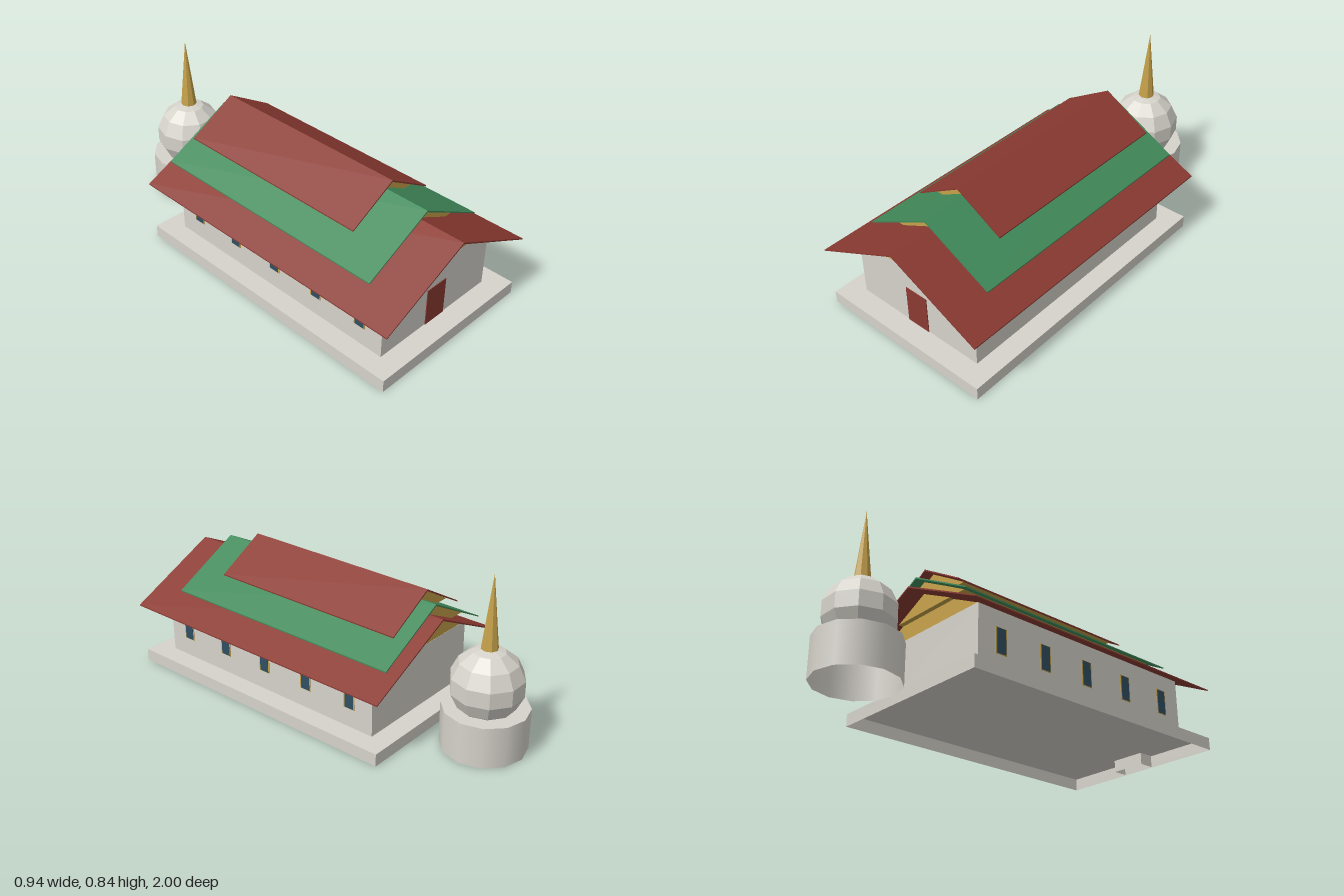
import * as THREE from 'three';

const mat = (name, color, extra = {}) => {
  const m = new THREE.MeshStandardMaterial({ color, ...extra });
  m.name = name;
  return m;
};

export function createModel() {
  const group = new THREE.Group();
  group.name = 'temple';
  const stone = mat('whitewash', 0xd6d3cb, { side: THREE.DoubleSide });
  const dome = mat('domeWhite', 0xd6d3cb, { flatShading: true });
  const red = mat('redTile', 0x8b3a32);
  const green = mat('greenTile', 0x418a5a);
  const gold = mat('gold', 0xc6a24a, { flatShading: true });
  const glass = mat('windowBlue', 0x2f4f62);

  const add = (name, geometry, material, x = 0, y = 0, z = 0, parent = group) => {
    const mesh = new THREE.Mesh(geometry, material);
    mesh.name = name;
    mesh.position.set(x, y, z);
    parent.add(mesh);
    return mesh;
  };

  // Box given by its limits, left open underneath
  const openBox = (name, w, y0, y1, z0, z1) => {
    const g = new THREE.BoxGeometry(w, y1 - y0, z1 - z0);
    const index = Array.from(g.index.array);
    index.splice(18, 6);
    g.setIndex(index);
    g.clearGroups();
    return add(name, g, stone, 0, (y0 + y1) / 2, (z0 + z1) / 2);
  };

  // Outline in x and y, extruded from z0 to z1
  const prism = (name, points, z0, z1, material) => {
    const shape = new THREE.Shape(points.map(([x, y]) => new THREE.Vector2(x, y)));
    const g = new THREE.ExtrudeGeometry(shape, { depth: z1 - z0, bevelEnabled: false });
    return add(name, g, material, 0, 0, z0);
  };

  // Platform, hidden step and hall
  openBox('platform', 0.916, 0, 0.062, -0.537, 0.988);
  openBox('step', 0.18, 0, 0.06, 0.9, 0.98);
  openBox('hall', 0.716, 0.062, 0.37, -0.434, 0.884);
  add('door', new THREE.BoxGeometry(0.126, 0.193, 0.008), red, 0, 0.159, 0.884);

  // Three stacked gable roofs, each with a gold pediment prism
  const tiers = [
    { w: 0.47, eave: 0.318, ridge: 0.549, z0: -0.549, z1: 1.0, base: 0.37, material: red, inset: 0.116 },
    { w: 0.358, eave: 0.419, ridge: 0.611, z0: -0.508, z1: 0.8, base: 0.45, material: green, inset: 0.05 },
    { w: 0.245, eave: 0.525, ridge: 0.67, z0: -0.458, z1: 0.6, base: 0.531, material: red, inset: 0.05 },
  ];
  const t = 0.008;
  for (const { w, eave, ridge, z0, z1, base, material, inset } of tiers) {
    prism('roof', [[-w, eave - t / 2], [0, ridge - t], [w, eave - t / 2], [w, eave + t / 2 - 0.002], [0, ridge], [-w, eave + t / 2 - 0.002]],
      z0, z1, material);
    const top = ridge - t * 0.75;
    const half = (top - base) * w / (ridge - eave);
    prism('pediment', [[-half, base], [half, base], [0, top]], z0 + inset, z1 - inset, gold);
  }

  // Five framed windows along each side
  for (const side of [1, -1]) {
    for (let i = 0; i < 5; i++) {
      const win = new THREE.Group();
      win.name = 'window';
      win.position.set(side * 0.358, 0.222, 0.757 - i * 0.265);
      add('windowFrame', new THREE.BoxGeometry(0.006, 0.127, 0.063), gold, 0, 0, 0, win);
      add('windowPane', new THREE.BoxGeometry(0.009, 0.121, 0.051), glass, 0, 0, 0, win);
      group.add(win);
    }
  }

  // Domed shrine behind the hall
  const shrine = new THREE.Group();
  shrine.name = 'shrine';
  shrine.position.z = -0.797;
  group.add(shrine);
  const r = 0.203;
  add('drumWall', new THREE.CylinderGeometry(r, r, r, 12, 1, true), stone, 0, r / 2, 0, shrine);
  const cap = add('drumTop', new THREE.CircleGeometry(r, 12), stone, 0, r, 0, shrine);
  cap.rotation.x = -Math.PI / 2;
  add('dome', new THREE.SphereGeometry(0.175, 10, 7), dome, 0, 0.318, 0, shrine);
  add('spire', new THREE.ConeGeometry(0.04, 0.354, 8), gold, 0, 0.666, 0, shrine);

  return group;
}
